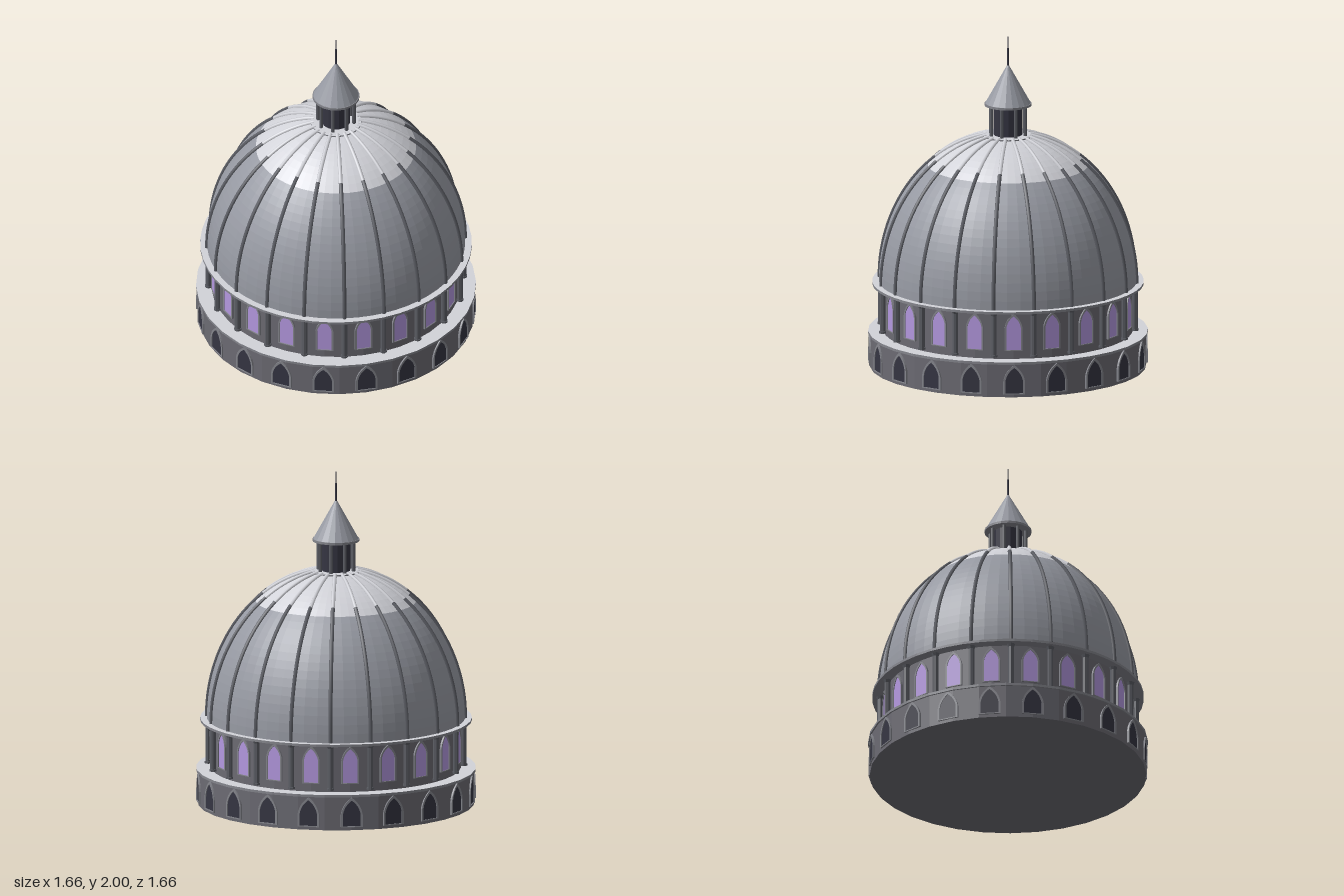
import * as THREE from 'three';

const mat = (name, color) => {
  const m = new THREE.MeshStandardMaterial({ color });
  m.name = name;
  return m;
};

export function createModel() {
  const stone = mat('drum stone', 0x6c6b73);
  const trim = mat('trim stone', 0x85868d);
  const lead = mat('dome lead', 0x979aa3);
  const pale = mat('pale tops', 0xd2d3d9);
  const iron = mat('rib grey', 0x5c5e65);
  const dark = mat('dark openings', 0x353542);
  const violet = mat('violet glass', 0xb498e0);

  const root = new THREE.Group();
  root.name = 'dome';
  const COUNT = 20, STEP = Math.PI * 2 / COUNT;

  const flat = (g) => {
    const f = g.index ? g.toNonIndexed() : g;
    f.computeVertexNormals();
    return f;
  };
  const add = (name, geo, material, parent = root) => {
    const m = new THREE.Mesh(geo, material);
    m.name = name;
    parent.add(m);
    return m;
  };
  // Upright cylinder from y0 to y1; a material array gives side, top, bottom
  const drum = (name, rBottom, rTop, y0, y1, sides, material, parent) => {
    const g = new THREE.CylinderGeometry(rTop, rBottom, y1 - y0, sides);
    return add(name, flat(g.translate(0, (y0 + y1) / 2, 0)), material, parent);
  };
  // Repeats a part round the axis; build(group) works at angle 0, facing +z
  const around = (name, count, offset, build) => {
    for (let i = 0; i < count; i++) {
      const g = new THREE.Group();
      g.name = name;
      g.rotation.y = (i + offset) * Math.PI * 2 / count;
      build(g);
      root.add(g);
    }
  };
  // Pointed arch outline, from its sill upward
  const arch = (Type, w, y0, spring, top) => {
    const h = w / 2, s = new Type();
    s.moveTo(-h, y0);
    s.lineTo(h, y0);
    s.lineTo(h, spring);
    s.quadraticCurveTo(h * 0.85, spring + (top - spring) * 0.62, 0, top);
    s.quadraticCurveTo(-h * 0.85, spring + (top - spring) * 0.62, -h, spring);
    s.closePath();
    return s;
  };
  const extrude = (shape, depth, z) => new THREE.ExtrudeGeometry(shape,
    { depth, bevelEnabled: false, curveSegments: 6 }).translate(0, 0, z);
  const windows = (name, r, w, y0, spring, top, border, glass) =>
    around(name, COUNT, 0.5, (g) => {
      const frame = arch(THREE.Shape, w + border * 2, y0 - border * 0.5, spring, top + border * 1.4);
      frame.holes.push(arch(THREE.Path, w, y0, spring, top));
      add('windowFrame', extrude(frame, 0.02, r - 0.012), trim, g);
      add('windowPane', extrude(arch(THREE.Shape, w, y0, spring, top), 0.008, r - 0.005), glass, g);
    });

  // Lower drum with ledge and dark arched openings
  drum('baseDrum', 0.82, 0.82, 0, 0.2, 32, stone);
  drum('baseLedge', 0.83, 0.83, 0.2, 0.215, 32, [trim, pale, trim]);
  windows('lowerWindow', 0.818, 0.106, 0.025, 0.095, 0.18, 0.012, dark);

  // Upper drum with cornice, lit windows and columns
  drum('upperDrum', 0.74, 0.74, 0.215, 0.5, 40, stone);
  drum('cornice', 0.805, 0.805, 0.5, 0.515, 48, [trim, pale, trim]);
  windows('upperWindow', 0.74, 0.086, 0.27, 0.405, 0.475, 0.01, violet);
  around('column', COUNT, 0, (g) => {
    const place = (m) => { m.position.z = 0.757; };
    place(drum('columnShaft', 0.018, 0.018, 0.23, 0.485, 8, iron, g));
    place(drum('columnCapital', 0.018, 0.025, 0.482, 0.5, 8, iron, g));
    place(drum('columnBase', 0.022, 0.022, 0.23, 0.242, 8, iron, g));
  });

  // Dome shell: an elliptical profile, pale near the crown
  const A = 0.765, H = 0.9, Y = 0.515;
  const T_END = Math.acos(0.13 / A), T_PALE = Math.acos(0.475 / A);
  const profile = (t0, t1, n) => Array.from({ length: n + 1 }, (_, i) => {
    const t = t0 + (t1 - t0) * i / n;
    return new THREE.Vector2(A * Math.cos(t), Y + H * Math.sin(t));
  });
  const shell = (name, t0, t1, n, material) =>
    add(name, flat(new THREE.LatheGeometry(profile(t0, t1, n), 60)), material);
  shell('domeShell', 0, T_PALE, 15, lead);
  shell('domeCrown', T_PALE, T_END, 8, pale);

  // Ribs following the shell, pale along the crown
  const T_RIB = Math.acos(0.43 / A);
  const ribPart = (t0, t1, n) => new THREE.TubeGeometry(new THREE.CatmullRomCurve3(
    profile(t0, t1, n).map((p) => new THREE.Vector3(0, p.y + 0.002, p.x + 0.002))), n * 2, 0.012, 6);
  const lowerRib = ribPart(0, T_RIB, 10), upperRib = ribPart(T_RIB, T_END, 5);
  around('rib', COUNT, 0, (g) => {
    add('lowerRib', lowerRib, iron, g);
    add('upperRib', upperRib, pale, g);
  });

  // Lantern with its collar, columns and conical roof
  drum('lanternCollar', 0.15, 0.15, 1.388, 1.405, 32, [trim, pale, trim]);
  drum('lanternCore', 0.085, 0.085, 1.405, 1.585, 16, dark);
  around('lanternColumn', 8, 0.5, (g) => {
    drum('lanternShaft', 0.011, 0.011, 1.405, 1.585, 8, iron, g).position.z = 0.108;
  });
  drum('lanternEave', 0.14, 0.14, 1.583, 1.597, 20, trim);
  drum('lanternRoof', 0.135, 0.004, 1.597, 1.83, 20, lead);

  // Finial
  drum('finialStem', 0.007, 0.006, 1.815, 1.93, 8, dark);
  drum('finialTip', 0.004, 0.002, 1.93, 2.0, 6, dark);
  return root;
}
